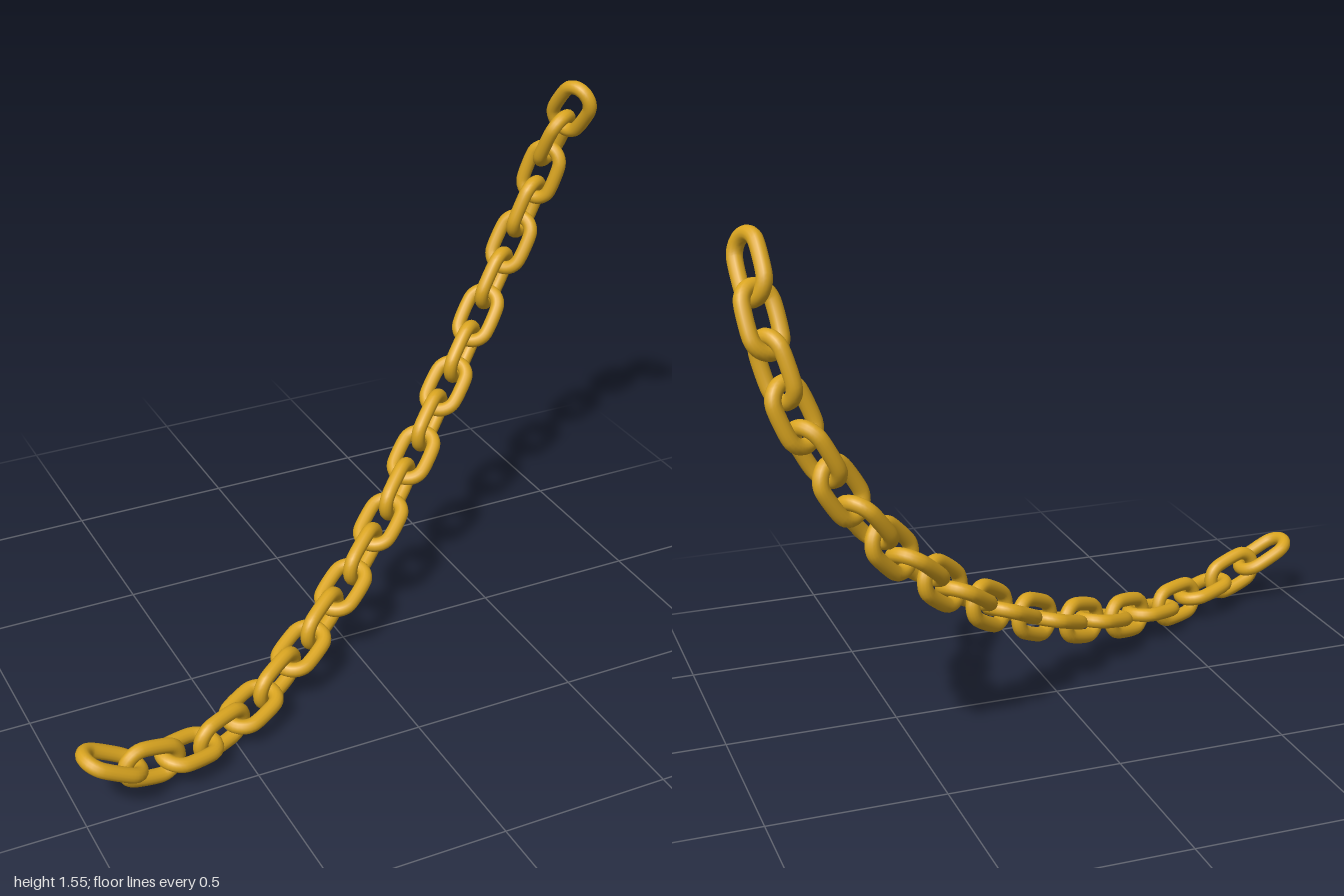
import * as THREE from 'three';

// Centres of the links, from the low end to the raised end
const CENTRES = [
  [-0.905, 0.155, 0.46], [-0.79, 0.108, 0.447], [-0.667, 0.083, 0.408], [-0.55, 0.073, 0.36],
  [-0.435, 0.083, 0.302], [-0.325, 0.107, 0.238], [-0.22, 0.137, 0.173], [-0.12, 0.173, 0.107],
  [-0.02, 0.215, 0.042], [0.08, 0.267, -0.027], [0.172, 0.32, -0.092], [0.262, 0.38, -0.157],
  [0.35, 0.447, -0.221], [0.437, 0.52, -0.282], [0.522, 0.598, -0.335], [0.604, 0.68, -0.383],
  [0.68, 0.775, -0.422], [0.75, 0.88, -0.45], [0.815, 0.988, -0.463], [0.866, 1.098, -0.465],
  [0.906, 1.213, -0.452], [0.926, 1.333, -0.417], [0.935, 1.45, -0.342],
].map((p) => new THREE.Vector3(...p));

const WIRE = 0.0213;  // wire radius
const BEND = 0.049;   // radius of the rounded ends
const HALF = 0.037;   // half length of the straight sides

// One oval link, long along x and wide along y
function linkGeometry() {
  const pts = [];
  for (const side of [1, -1]) {
    for (let i = 0; i <= 8; i++) {
      const a = -Math.PI / 2 + (i / 8) * Math.PI;
      pts.push(new THREE.Vector3(side * (HALF + BEND * Math.cos(a)), side * BEND * Math.sin(a), 0));
    }
  }
  const path = new THREE.CatmullRomCurve3(pts, true, 'centripetal');
  return new THREE.TubeGeometry(path, 48, WIRE, 14, true);
}

// Long axis of link i: towards its neighbours, set by hand at the two ends
function axisOf(i) {
  if (i === 0) return new THREE.Vector3(0.88, -0.47, 0).normalize();
  if (i === CENTRES.length - 1) return new THREE.Vector3(0.05, 0.78, 0.62).normalize();
  return CENTRES[i + 1].clone().sub(CENTRES[i - 1]).normalize();
}

export function createModel() {
  const chain = new THREE.Group();
  chain.name = 'chain';
  const geometry = linkGeometry();
  const material = new THREE.MeshStandardMaterial({ color: 0xdaa520 });

  // Carry the width direction along the chain without twist
  const wide = new THREE.Vector3(0, 0, 1);
  let previous = axisOf(0);
  CENTRES.forEach((centre, i) => {
    const axis = axisOf(i);
    wide.applyQuaternion(new THREE.Quaternion().setFromUnitVectors(previous, axis));
    previous = axis;
    const across = axis.clone().cross(wide);

    // Every second link is turned a quarter about its long axis
    const basis = new THREE.Matrix4();
    if (i % 2 === 0) basis.makeBasis(axis, wide, across);
    else basis.makeBasis(axis, across, wide.clone().negate());

    const link = new THREE.Mesh(geometry, material);
    link.name = `link${i + 1}`;
    link.quaternion.setFromRotationMatrix(basis);
    link.position.copy(centre);
    chain.add(link);
  });
  return chain;
}
